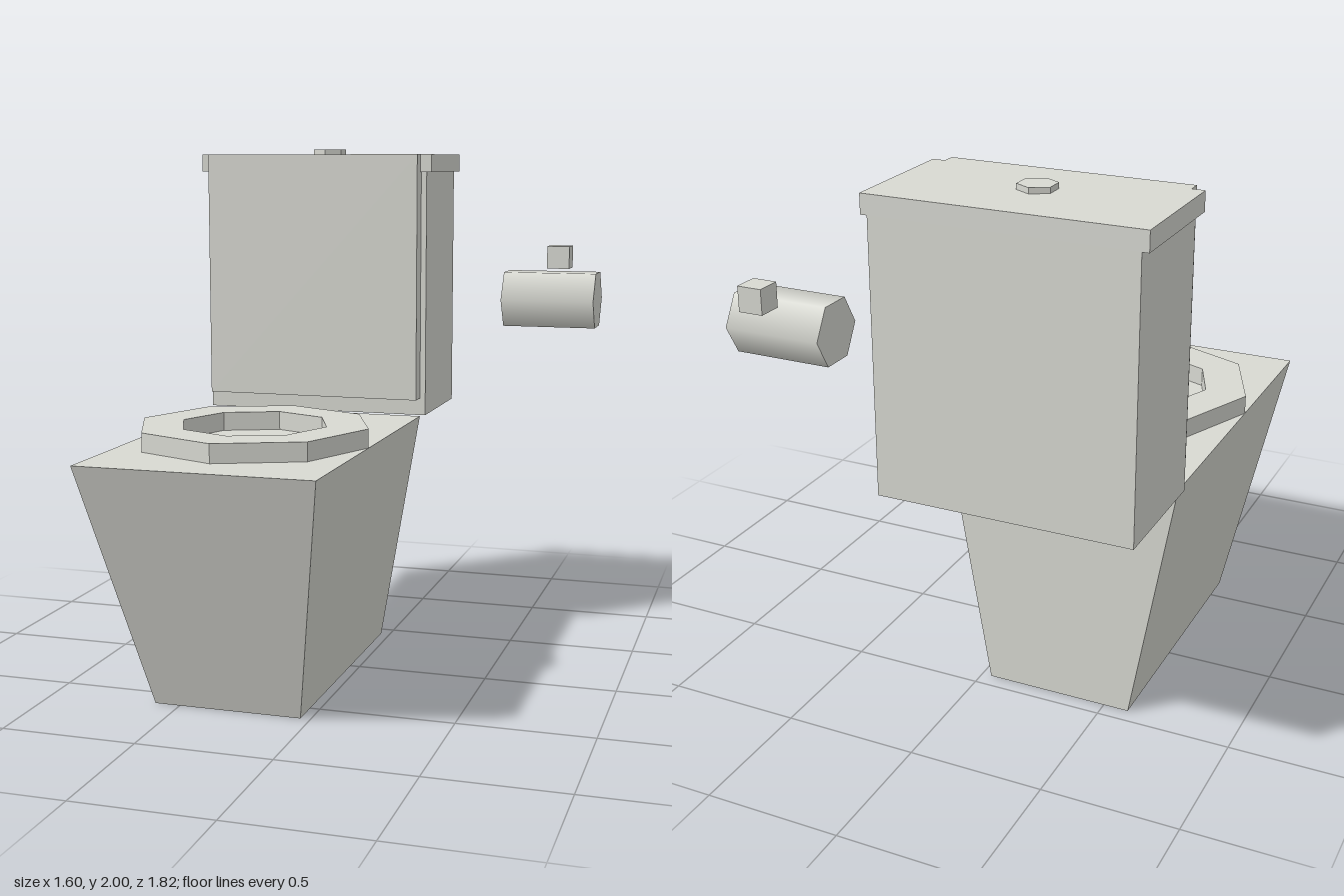
import * as THREE from 'three';

const CX = -0.316; // centre line of the toilet

export function createModel() {
  const model = new THREE.Group();
  const porcelain = new THREE.MeshStandardMaterial({ color: 0xd8d9d2 });
  porcelain.name = 'porcelain';

  const add = (name, geometry, x = 0, y = 0, z = 0) => {
    const mesh = new THREE.Mesh(geometry, porcelain);
    mesh.name = name;
    mesh.position.set(x, y, z);
    model.add(mesh);
    return mesh;
  };
  // Box given by its extents
  const block = (name, x0, x1, y0, y1, z0, z1) =>
    add(name, new THREE.BoxGeometry(x1 - x0, y1 - y0, z1 - z0),
      (x0 + x1) / 2, (y0 + y1) / 2, (z0 + z1) / 2);

  // Pedestal: a box whose foot is narrower and shorter at the front
  const pedestal = new THREE.BoxGeometry(0.88, 0.93, 1.35);
  pedestal.translate(0, 0.465, 0.235);
  const p = pedestal.attributes.position;
  for (let i = 0; i < p.count; i++) {
    if (p.getY(i) > 0.1) continue;
    p.setX(i, Math.sign(p.getX(i)) * 0.279);
    if (p.getZ(i) > 0) p.setZ(i, 0.61);
  }
  pedestal.computeVertexNormals();
  add('pedestal', pedestal, CX);

  // Seat: octagonal ring
  const octagon = (r) => Array.from({ length: 8 }, (_, i) =>
    new THREE.Vector2(r * Math.cos(i * Math.PI / 4), r * Math.sin(i * Math.PI / 4)));
  const ring = new THREE.Shape(octagon(0.44));
  ring.holes.push(new THREE.Path(octagon(0.28)));
  const seat = new THREE.ExtrudeGeometry(ring, { depth: 0.07, bevelEnabled: false });
  seat.rotateX(-Math.PI / 2);
  add('seat', seat, CX, 0.93, 0.3);

  // Cistern, its lid, the raised seat cover and the flush button
  block('cistern', -0.778, 0.146, 0.935, 1.91, -0.909, -0.44);
  block('cisternLid', -0.802, 0.17, 1.91, 1.98, -0.909, -0.423);
  block('seatCover', -0.756, 0.124, 1.004, 1.98, -0.44, -0.374);
  add('flushButton', new THREE.CylinderGeometry(0.068, 0.068, 0.02, 6).toNonIndexed(), CX, 1.99, -0.63)
    .geometry.computeVertexNormals();

  // Paper roll and its wall bracket
  const roll = new THREE.CylinderGeometry(0.126, 0.126, 0.372, 6);
  roll.rotateZ(Math.PI / 2);
  add('paperRoll', roll, 0.614, 1.4, -0.676);
  block('rollBracket', 0.568, 0.66, 1.513, 1.605, -0.909, -0.815);

  return model;
}
